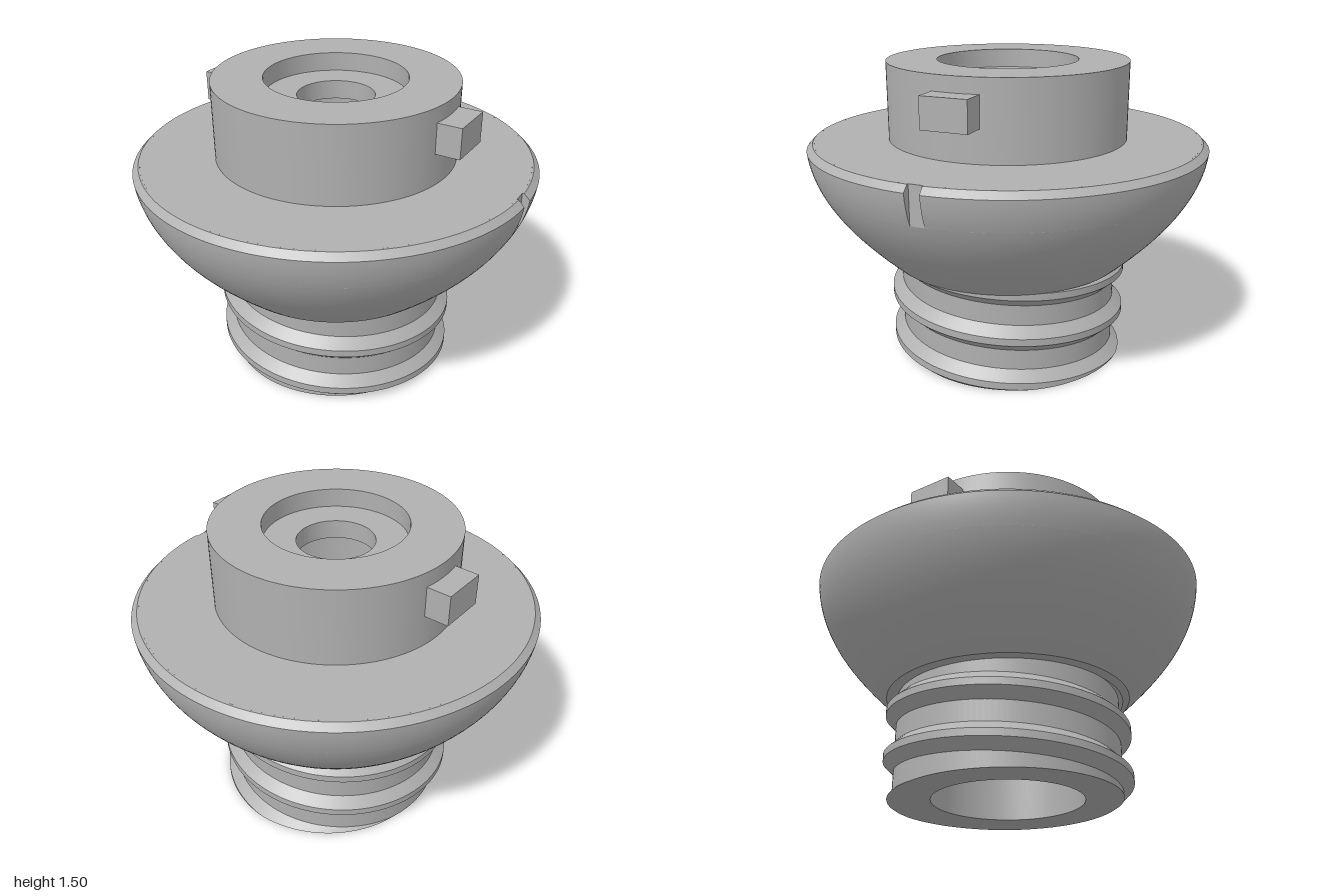
import * as THREE from 'three';
import { toCreasedNormals } from 'three/addons/utils/BufferGeometryUtils.js';

const V = (r, y) => new THREE.Vector2(r, y);

export function createModel() {
  const group = new THREE.Group();
  const grey = new THREE.MeshStandardMaterial({ color: 0xb0b0b0, side: THREE.DoubleSide });
  grey.name = 'grey';

  const add = (name, geometry) => {
    const mesh = new THREE.Mesh(geometry, grey);
    mesh.name = name;
    group.add(mesh);
    return mesh;
  };
  const turn = (name, points, start = 0, length = Math.PI * 2) =>
    add(name, toCreasedNormals(new THREE.LatheGeometry(points, 128, start, length), 0.25));

  // Lower neck with its wide bore
  turn('neck', [V(0.375, 1.317), V(0.375, 0), V(0.56, 0), V(0.56, 0.505)]);

  // Flared bowl up to the notch floor, with the flat deck on top
  const flare = new THREE.CubicBezierCurve(V(0.615, 0.505), V(0.83, 0.7), V(0.98, 0.88), V(1, 1.09));
  const flarePoints = Array.from({ length: 33 }, (_, i) => flare.getPoint(i / 32));
  const lower = flarePoints.slice(0, 25);
  const notchRadius = lower[24].x;
  turn('bowl', [V(0.56, 0.505), ...lower, V(notchRadius, 1.12), V(0.6, 1.12)]);

  // Chamfered rim, interrupted by one narrow notch on +x
  const gap = 0.036;
  const rim = [...flarePoints.slice(24), V(0.97, 1.12), V(notchRadius, 1.12)];
  turn('rim', rim, Math.PI / 2 + gap, Math.PI * 2 - gap * 2);
  for (const side of [-1, 1]) {
    add('notchSide', new THREE.ShapeGeometry(new THREE.Shape(rim))).rotation.y = side * gap;
  }

  // Upper collar with a stepped hole
  turn('collar', [
    V(0.6, 1.12), V(0.6, 1.505), V(0.35, 1.505), V(0.35, 1.411),
    V(0.19, 1.411), V(0.19, 1.317), V(0.375, 1.317),
  ]);

  // Locking lugs
  for (const side of [-1, 1]) {
    add('lug', new THREE.BoxGeometry(0.12, 0.15, 0.23)).position.set(side * 0.65, 1.355, 0);
  }

  add('thread', threadGeometry());
  return group;
}

// Helical ridge of trapezoid section, cut flat at y = 0 and running up into the bowl
function threadGeometry() {
  const pitch = 0.235, half = 0.068, tip = 0.018;
  const from = -0.46, to = 2.26, steps = 300, count = 6;
  const positions = [], index = [];
  for (let i = 0; i <= steps; i++) {
    const turns = from + (to - from) * i / steps;
    const angle = turns * Math.PI * 2;
    const centre = 0.04 + pitch * turns;
    [-half, -half, -tip, tip, half, half].forEach((offset, j) => {
      const y = Math.max(0, centre + offset);
      const rise = THREE.MathUtils.clamp((half - Math.abs(y - centre)) / (half - tip), 0, 1);
      const r = j === 0 || j === count - 1 ? 0.55 : 0.558 + 0.054 * rise;
      positions.push(r * Math.cos(angle), y, r * Math.sin(angle));
      if (i < steps && j < count - 1) {
        const a = i * count + j, b = a + count;
        index.push(a, a + 1, b, b, a + 1, b + 1);
      }
    });
  }
  const geometry = new THREE.BufferGeometry();
  geometry.setAttribute('position', new THREE.Float32BufferAttribute(positions, 3));
  geometry.setIndex(index);
  return toCreasedNormals(geometry, 0.4);
}
